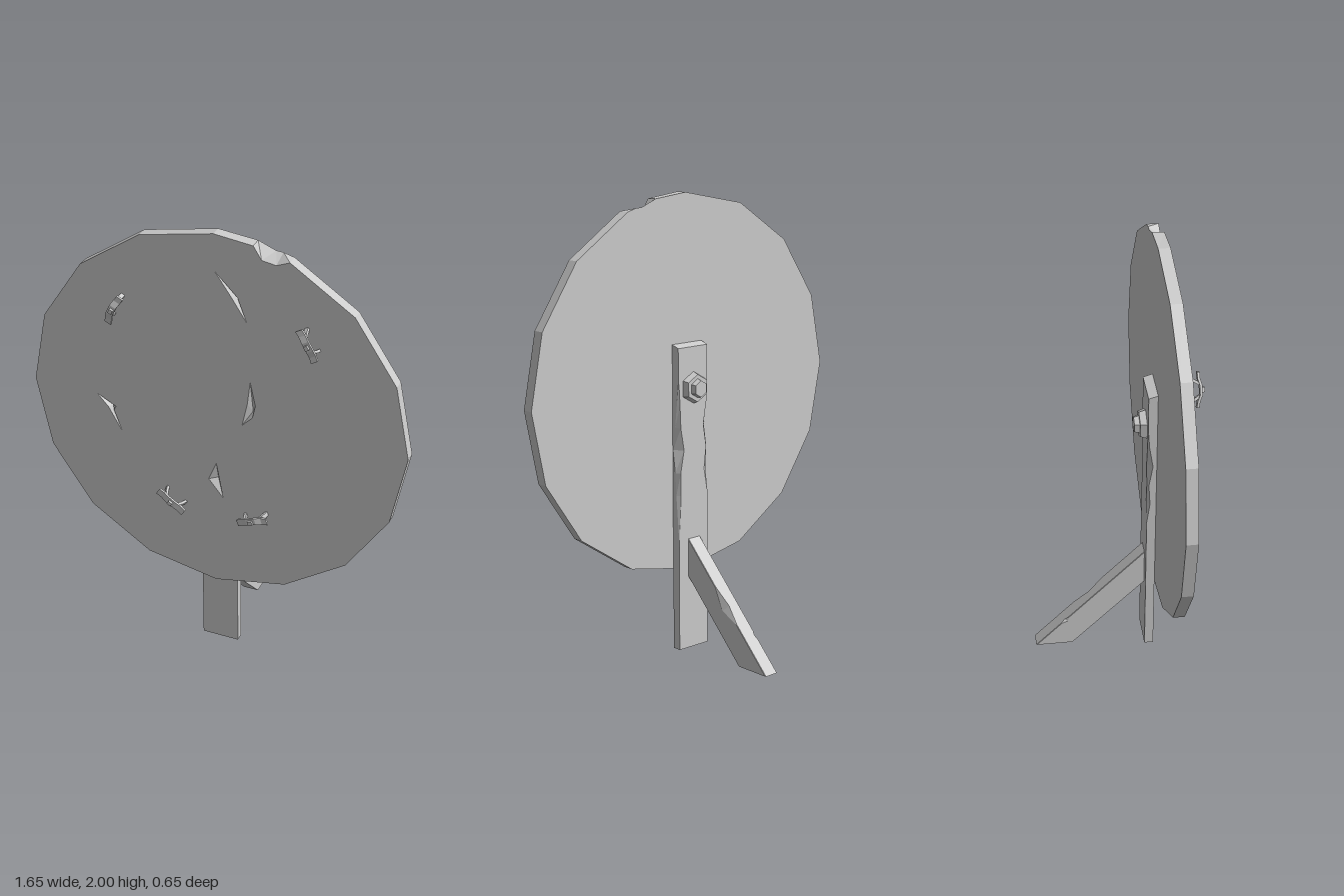
import * as THREE from 'three';

const material = new THREE.MeshStandardMaterial({ color: 0xcccccc, flatShading: true });

function flatGeometry(points) {
  const g = new THREE.BufferGeometry().setFromPoints(points);
  g.computeVertexNormals();
  return g;
}

function addMesh(parent, name, geometry) {
  const mesh = new THREE.Mesh(geometry, material);
  mesh.name = name;
  parent.add(mesh);
  return mesh;
}

// Skin a stack of closed rings (counter-clockwise seen from the last ring's end)
function loft(rings) {
  const out = [], n = rings[0].length, last = rings[rings.length - 1];
  for (let i = 0; i < rings.length - 1; i++) {
    for (let j = 0; j < n; j++) {
      const k = (j + 1) % n, a = rings[i], b = rings[i + 1];
      out.push(a[j], a[k], b[k], a[j], b[k], b[j]);
    }
  }
  for (let j = 1; j < n - 1; j++) {
    out.push(last[0], last[j], last[j + 1], rings[0][0], rings[0][j + 1], rings[0][j]);
  }
  return flatGeometry(out);
}

// Plank section between front line A and back line B, both [z, y];
// chipR and chipL are [across, depth] cuts on the two back edges
function plankRing(x0, x1, A, B, chipR, chipL) {
  const at = (x, t) => new THREE.Vector3(x, B[1] + (A[1] - B[1]) * t, B[0] + (A[0] - B[0]) * t);
  return [at(x0, 1), at(x1, 1), at(x1, chipR[1]), at(x1 - chipR[0], 0), at(x0 + chipL[0], 0), at(x0, chipL[1])];
}

// Round board: 16 sides, a nick in the rim and gouges cut in the face
function boardGeometry() {
  const zf = 0.25, zb = 0.2, r = 0.825, cy = 1.175;
  const v2 = ([x, y]) => new THREE.Vector2(x, y);
  const nickFront = [[0.26, 1.915], [0.2, 1.925], [0.165, 1.98]];
  const nickBack = [[0.27, 1.95], [0.24, 1.952], [0.165, 1.982]];
  const rim = (nick) => {
    const pts = [];
    for (let i = 1; i <= 16; i++) {
      const a = (i * Math.PI) / 8;
      pts.push(new THREE.Vector2(Math.cos(a) * r, cy + Math.sin(a) * r));
      if (i === 3) pts.push(...nick.map(v2));
    }
    return pts;
  };
  const front = rim(nickFront), back = rim(nickBack);
  const gouges = [
    { edge: [[0.005, 1.84], [0.1, 1.745], [0.14, 1.64], [0.075, 1.74]], deep: [0.095, 1.735] },
    { edge: [[0.155, 1.375], [0.178, 1.27], [0.165, 1.21], [0.12, 1.165], [0.143, 1.27]], deep: [0.16, 1.23] },
    { edge: [[-0.535, 1.165], [-0.45, 1.12], [-0.46, 1.1], [-0.425, 1.005], [-0.485, 1.11]], deep: [-0.473, 1.115] },
    { edge: [[0.005, 0.95], [0.035, 0.785], [-0.03, 0.865]], deep: [0.005, 0.87] },
  ].map(({ edge, deep }) => {
    const pts = edge.map(v2);
    if (THREE.ShapeUtils.isClockWise(pts)) pts.reverse();
    return { pts, deep };
  });

  const out = [], v3 = (p, z) => new THREE.Vector3(p.x, p.y, z);
  const cap = (outline, holes, z, facing) => {
    const all = [...outline, ...holes.flat()];
    for (const tri of THREE.ShapeUtils.triangulateShape(outline, holes)) {
      const t = tri.map((i) => all[i]);
      if (THREE.ShapeUtils.area(t) * facing < 0) t.reverse();
      out.push(...t.map((p) => v3(p, z)));
    }
  };
  cap(front, gouges.map((g) => g.pts), zf, 1);
  cap(back, [], zb, -1);
  front.forEach((p, i) => {
    const j = (i + 1) % front.length;
    const a = v3(p, zf), b = v3(front[j], zf), c = v3(back[j], zb), d = v3(back[i], zb);
    out.push(a, d, c, a, c, b);
  });
  for (const { pts, deep } of gouges) {
    pts.forEach((p, i) => out.push(v3(p, zf), v3(pts[(i + 1) % pts.length], zf), new THREE.Vector3(deep[0], deep[1], zf - 0.022)));
  }
  return flatGeometry(out);
}

// Flat band following points [along, sideways, height]
function band(path, width, thick) {
  const pts = path.map((p) => new THREE.Vector3(...p));
  return loft(pts.map((p, i) => {
    const dir = pts[Math.min(i + 1, pts.length - 1)].clone().sub(pts[Math.max(i - 1, 0)]).normalize();
    const side = new THREE.Vector3(0, 1, 0).cross(dir).normalize();
    const corner = (s, t) => p.clone().addScaledVector(side, s * thick / 2).add(new THREE.Vector3(0, t * width / 2, 0));
    return [corner(-1, -1), corner(1, -1), corner(1, 1), corner(-1, 1)];
  }));
}

// Holding clip: two leaning legs, a bent cross band with flared tips, a small nub
function makeClip(x, y, angle) {
  const clip = new THREE.Group();
  clip.name = 'clip';
  for (const s of [-1, 1]) {
    addMesh(clip, 'clipLeg', band([[s * 0.05, 0, -0.003], [s * 0.04, 0, 0.03], [s * 0.024, 0, 0.056]], 0.018, 0.011));
  }
  addMesh(clip, 'clipBand', band([[-0.07, -0.007, 0.046], [-0.045, -0.002, 0.05], [-0.02, 0.002, 0.06],
    [0.02, 0.002, 0.06], [0.045, -0.002, 0.053], [0.07, -0.007, 0.053]], 0.03, 0.01));
  addMesh(clip, 'clipNub', new THREE.BoxGeometry(0.02, 0.016, 0.014)).position.set(0, 0, 0.068);
  clip.position.set(x, y, 0.25);
  clip.rotation.z = THREE.MathUtils.degToRad(angle);
  return clip;
}

export function createModel() {
  const model = new THREE.Group();
  model.name = 'standingRoundBoard';
  addMesh(model, 'board', boardGeometry());

  // Upright post with splintered back edges: [y, right chip, left chip]
  const none = [0.002, 0.02];
  const postRows = [
    [0, none, none], [0.5, none, none], [0.7, [0.012, 0.45], none], [0.8, [0.01, 0.6], [0.02, 0.35]],
    [0.9, [0.03, 0.95], [0.008, 0.2]], [1.0, [0.012, 0.6], [0.024, 0.6]], [1.1, [0.008, 0.3], [0.006, 0.2]],
    [1.2, none, none], [1.36, none, none],
  ];
  addMesh(model, 'post', loft(postRows.map(([y, right, left]) =>
    plankRing(-0.085, 0.08, [0.2, y], [0.16, y > 1.3 ? y - 0.012 : y], right, left))));

  // Sloping rear prop, from the ground up: [t, right chip, left chip]
  const propRows = [
    [0, none, none], [0.24, none, none], [0.27, none, [0.008, 0.12]], [0.3, none, none], [0.37, none, none],
    [0.5, [0.016, 0.3], none], [0.64, none, none], [1, none, none],
  ];
  const mix = THREE.MathUtils.lerp;
  addMesh(model, 'rearProp', loft(propRows.map(([t, right, left]) =>
    plankRing(-0.04, 0.028, [mix(-0.165, 0.16, t), mix(0, 0.33, t)], [mix(-0.33, 0.16, t), mix(0, 0.5, t)], right, left))));

  // Hexagonal bolt on the back of the post
  const bolt = new THREE.Group();
  bolt.name = 'bolt';
  for (const [name, r0, r1, depth, z] of [['boltPlate', 0.06, 0.07, 0.03, 0.147], ['boltHead', 0.036, 0.042, 0.024, 0.122]]) {
    const hex = addMesh(bolt, name, new THREE.CylinderGeometry(r0, r1, depth, 6));
    hex.rotation.x = -Math.PI / 2;
    hex.position.z = z;
  }
  bolt.position.set(-0.005, 1.17, 0);
  model.add(bolt);

  for (const [x, y, angle] of [[-0.42, 1.61, 64], [0.415, 1.625, -60], [-0.18, 0.745, -33], [0.185, 0.742, 19]]) {
    model.add(makeClip(x, y, angle));
  }
  return model;
}
